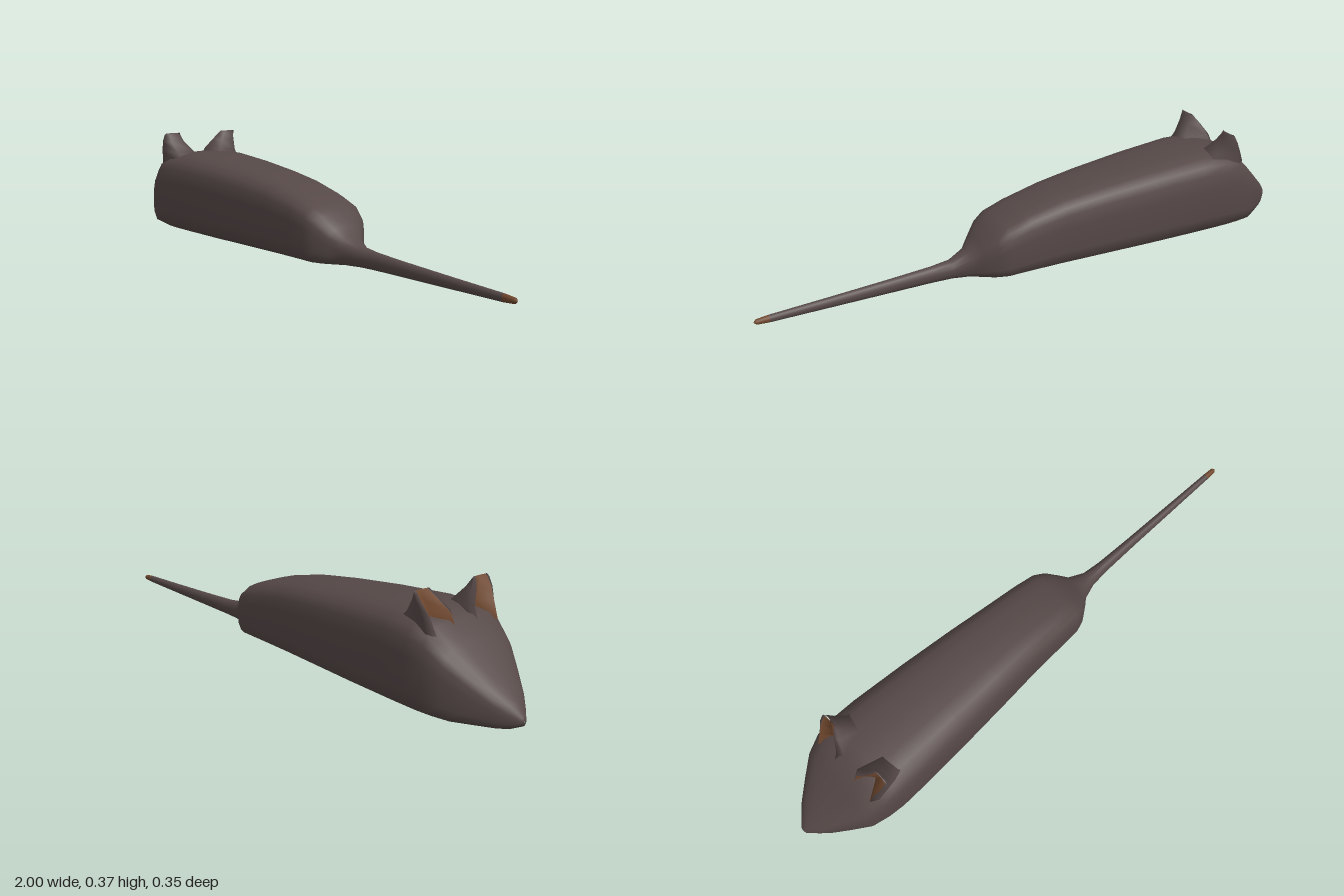
import * as THREE from 'three';

const fur = new THREE.MeshStandardMaterial({ color: 0x564948 });
fur.name = 'dark fur';
const skin = new THREE.MeshStandardMaterial({ color: 0x70482e });
skin.name = 'brown skin';

// Skin closed rings of points; isSkin(i, j) picks the second material.
function loft(name, rings, isSkin) {
  const n = rings[0].length;
  const lists = [[], []];
  for (let i = 0; i < rings.length - 1; i++) {
    for (let j = 0; j < n; j++) {
      const a = i * n + j, b = i * n + (j + 1) % n;
      lists[isSkin(i, j) ? 1 : 0].push(a, b, a + n, b, b + n, a + n);
    }
  }
  const g = new THREE.BufferGeometry();
  g.setAttribute('position', new THREE.Float32BufferAttribute(rings.flat(2), 3));
  g.setIndex([...lists[0], ...lists[1]]);
  g.addGroup(0, lists[0].length, 0);
  g.addGroup(lists[0].length, lists[1].length, 1);
  g.computeVertexNormals();
  const mesh = new THREE.Mesh(g, [fur, skin]);
  mesh.name = name;
  return mesh;
}

// Half cross-section of the boxy torso: width fraction, height fraction
const HALF = [[0, 1], [0.4, 0.99], [0.68, 0.96], [0.87, 0.89], [0.96, 0.79],
  [1, 0.62], [1, 0.25], [0.92, 0.085], [0.69, 0], [0, 0]];

// Stations: x, half width, bottom, top, roundness (0 boxy, 1 oval)
const STATIONS = [
  [-1.0, 0.002, 0.03, 0.034, 1], [-0.998, 0.012, 0.018, 0.045, 1],
  [-0.97, 0.042, 0.005, 0.08, 0.6], [-0.94, 0.07, 0.002, 0.108, 0.3],
  [-0.88, 0.113, 0.002, 0.165, 0.1], [-0.82, 0.153, 0.002, 0.222, 0],
  [-0.76, 0.169, 0.002, 0.28, 0], [-0.7, 0.175, 0.002, 0.297, 0],
  [-0.6, 0.172, 0.002, 0.302, 0], [-0.4, 0.16, 0.002, 0.288, 0],
  [-0.2, 0.145, 0.003, 0.268, 0], [-0.05, 0.132, 0.003, 0.248, 0],
  [0.08, 0.125, 0.003, 0.218, 0], [0.16, 0.119, 0.002, 0.19, 0],
  [0.2, 0.105, 0.002, 0.165, 0.1], [0.24, 0.075, 0.002, 0.125, 0.3],
  [0.27, 0.05, 0.002, 0.095, 0.6], [0.33, 0.028, 0.003, 0.071, 1],
  [0.4, 0.021, 0.005, 0.063, 1], [0.55, 0.017, 0.007, 0.055, 1],
  [0.75, 0.014, 0.01, 0.046, 1], [0.95, 0.011, 0.013, 0.038, 1],
  [0.99, 0.009, 0.016, 0.034, 1], [1.0, 0.001, 0.024, 0.026, 1],
];

function bodyRing([x, w, bottom, top, round]) {
  const half = HALF.map(([u, v], k) => {
    const a = Math.PI * k / (HALF.length - 1);
    const zu = THREE.MathUtils.lerp(u, Math.sin(a), round);
    const yv = THREE.MathUtils.lerp(v, 0.5 + 0.5 * Math.cos(a), round);
    return [x, bottom + yv * (top - bottom), zu * w];
  });
  const other = half.slice(1, -1).reverse().map(([px, y, z]) => [px, y, -z]);
  return [...half, ...other];
}

// Ear rows: y, inner z, outer z, front x, back x
const EAR = [
  [0.25, 0.03, 0.145, -0.78, -0.61], [0.3, 0.034, 0.151, -0.758, -0.66],
  [0.338, 0.066, 0.157, -0.736, -0.688], [0.364, 0.087, 0.156, -0.718, -0.699],
  [0.372, 0.093, 0.152, -0.71, -0.706],
];

// Ear with a hollowed front; side is +1 or -1
function ear(side) {
  const rings = EAR.map(([y, zi, zo, xf, xb]) => {
    const at = t => side * (zi + (zo - zi) * t);
    const deep = (xb - xf) * 0.45;
    const ring = [[xf + deep * 0.35, y, at(0)], [xf, y, at(0.14)],
      [xf + deep, y, at(0.5)], [xf, y, at(0.86)], [xf + deep * 0.35, y, at(1)],
      [xb, y, at(0.8)], [xb, y, at(0.2)]];
    return side > 0 ? ring : ring.reverse();
  });
  const hollow = side > 0 ? [1, 2] : [3, 4];
  return loft(side > 0 ? 'frontEar' : 'rearEar', rings, (i, j) => hollow.includes(j));
}

export function createModel() {
  const model = new THREE.Group();
  model.name = 'mouse';
  // Torso, snout and tail in one skin; the tail tip is bare
  const bareFrom = STATIONS.length - 3;
  model.add(loft('bodyAndTail', STATIONS.map(bodyRing), i => i >= bareFrom));
  model.add(ear(1), ear(-1));
  return model;
}
